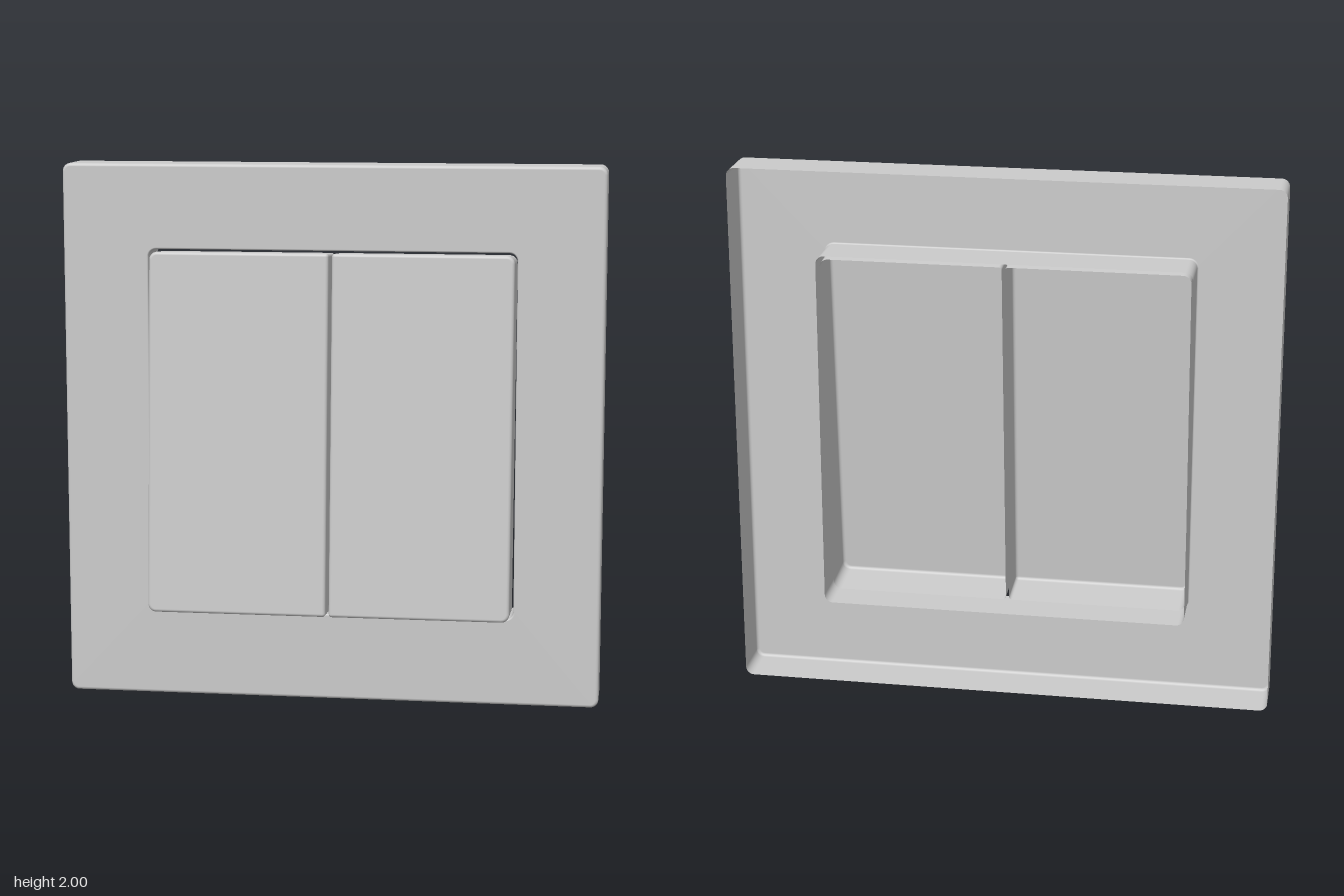
import * as THREE from 'three';

const material = new THREE.MeshStandardMaterial({ color: 0xcccccc, side: THREE.DoubleSide });
const ARC = 6; // steps per rounded corner
const ROUND = 4; // steps per rounded front edge

// Rounded rectangle, anticlockwise: points moved inwards by `inset`, with outward normals.
// Corner radii run: top right, top left, bottom left, bottom right.
function outline({ x0, x1, y0, y1, radii }, inset) {
  const corners = [[x1, y1, -1, -1], [x0, y1, 1, -1], [x0, y0, 1, 1], [x1, y0, -1, 1]];
  return corners.flatMap(([x, y, sx, sy], q) => Array.from({ length: ARC + 1 }, (_, k) => {
    const a = (q + k / ARC) * Math.PI / 2;
    const r = radii[q];
    const nx = Math.cos(a), ny = Math.sin(a);
    return { nx, ny, x: x + sx * r + nx * (r - inset), y: y + sy * r + ny * (r - inset) };
  }));
}

// Thin wall along an outline, rolling over a small round at its front edge.
// dir = 1 faces outwards, dir = -1 faces into an opening.
function wallGeometry(rect, back, front, round, dir) {
  const rows = [{ inset: 0, z: back, a: 0 }];
  for (let i = 0; i <= ROUND; i++) {
    const a = i / ROUND * Math.PI / 2;
    rows.push({ inset: dir * round * (1 - Math.cos(a)), z: front - round * (1 - Math.sin(a)), a });
  }
  const positions = [], normals = [], index = [];
  const n = 4 * (ARC + 1);
  rows.forEach(({ inset, z, a }, i) => {
    outline(rect, inset).forEach((p, j) => {
      positions.push(p.x, p.y, z);
      normals.push(dir * p.nx * Math.cos(a), dir * p.ny * Math.cos(a), Math.sin(a));
      if (i === rows.length - 1) return;
      const k = (j + 1) % n;
      const A = i * n + j, B = i * n + k, C = B + n, D = A + n;
      if (dir > 0) index.push(A, B, C, A, C, D);
      else index.push(A, C, B, A, D, C);
    });
  });
  const geometry = new THREE.BufferGeometry();
  geometry.setAttribute('position', new THREE.Float32BufferAttribute(positions, 3));
  geometry.setAttribute('normal', new THREE.Float32BufferAttribute(normals, 3));
  geometry.setIndex(index);
  return geometry;
}

// Flat front face, with an optional opening.
function faceGeometry(rect, inset, z, hole, holeInset) {
  const points = (r, i) => outline(r, i).map(p => new THREE.Vector2(p.x, p.y));
  const shape = new THREE.Shape(points(rect, inset));
  if (hole) shape.holes.push(new THREE.Path(points(hole, holeInset)));
  return new THREE.ShapeGeometry(shape).translate(0, 0, z);
}

function add(group, name, geometry) {
  const mesh = new THREE.Mesh(geometry, material);
  mesh.name = name;
  group.add(mesh);
}

// Square frame: hollow at the back, with a collar around the opening
function createFrame() {
  const frame = new THREE.Group();
  frame.name = 'frame';
  const back = -0.146, front = 0.024, round = 0.012, lip = 0.006;
  const outer = { x0: -1, x1: 1, y0: 0, y1: 2, radii: [0.03, 0.03, 0.03, 0.03] };
  const opening = { x0: -0.681, x1: 0.681, y0: 0.326, y1: 1.687, radii: [0.03, 0.03, 0.03, 0.03] };
  add(frame, 'frameFace', faceGeometry(outer, round, front, opening, -lip));
  add(frame, 'frameOuterWall', wallGeometry(outer, back, front, round, 1));
  add(frame, 'frameCollar', wallGeometry(opening, back, front, lip, -1));
  return frame;
}

// Tilted rocker: an open-backed shell, rounded on its outer corners
function createRocker(side) {
  const rocker = new THREE.Group();
  rocker.name = side > 0 ? 'leftRocker' : 'rightRocker';
  const depth = 0.17, round = 0.012, big = 0.03, small = 0.012;
  const rect = side > 0
    ? { x0: 0.006, x1: 0.673, y0: 0, y1: 1.34, radii: [big, small, small, big] }
    : { x0: -0.673, x1: -0.006, y0: 0, y1: 1.34, radii: [small, big, big, small] };
  add(rocker, 'rockerFace', faceGeometry(rect, round, 0));
  add(rocker, 'rockerWall', wallGeometry(rect, -depth, 0, round, 1));
  rocker.position.set(0, 0.343, 0.146);
  rocker.rotation.x = -0.071;
  return rocker;
}

export function createModel() {
  const model = new THREE.Group();
  model.name = 'doubleRockerSwitch';
  model.add(createFrame(), createRocker(1), createRocker(-1));
  return model;
}
